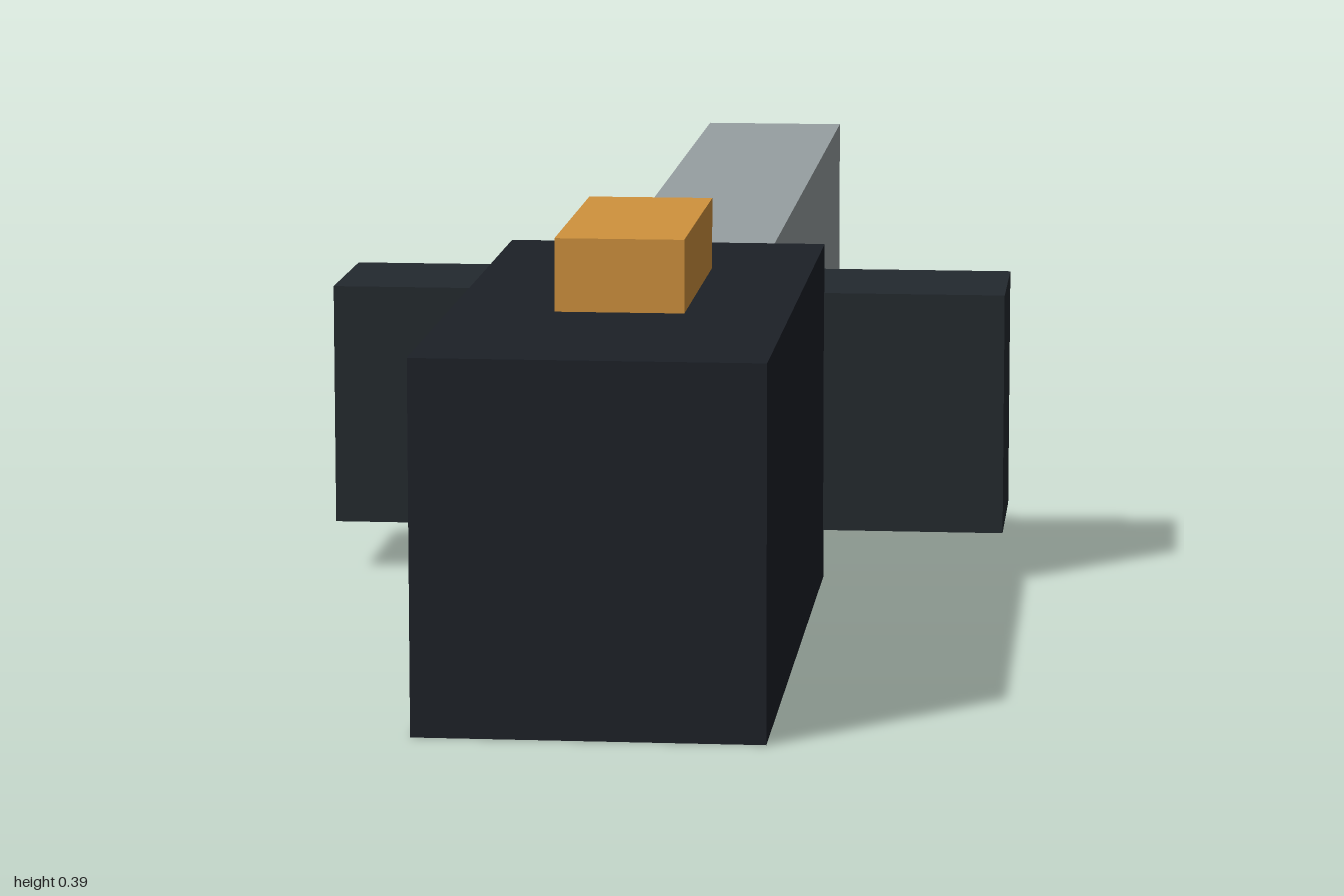
import * as THREE from 'three';

// Box given by its extents: x is mirrored about the centre
function block(name, color, halfWidth, [y0, y1], [z0, z1]) {
  const mesh = new THREE.Mesh(
    new THREE.BoxGeometry(halfWidth * 2, y1 - y0, z1 - z0),
    new THREE.MeshStandardMaterial({ color })
  );
  mesh.name = name;
  mesh.position.set(0, (y0 + y1) / 2, (z0 + z1) / 2);
  return mesh;
}

export function createModel() {
  const model = new THREE.Group();
  model.name = 'knife';
  model.add(
    block('handle', 0x1c2027, 0.15, [0, 0.323], [0.31, 1]),
    block('guard', 0x23292e, 0.322, [0.047, 0.277], [0.162, 0.318]),
    // blade runs into the guard, a hair proud of its top and bottom
    block('blade', 0x979fa1, 0.078, [0.046, 0.278], [-1, 0.195]),
    // button sits on the handle, sunk slightly into it
    block('button', 0xd0923d, 0.057, [0.31, 0.388], [0.472, 0.744])
  );
  return model;
}
